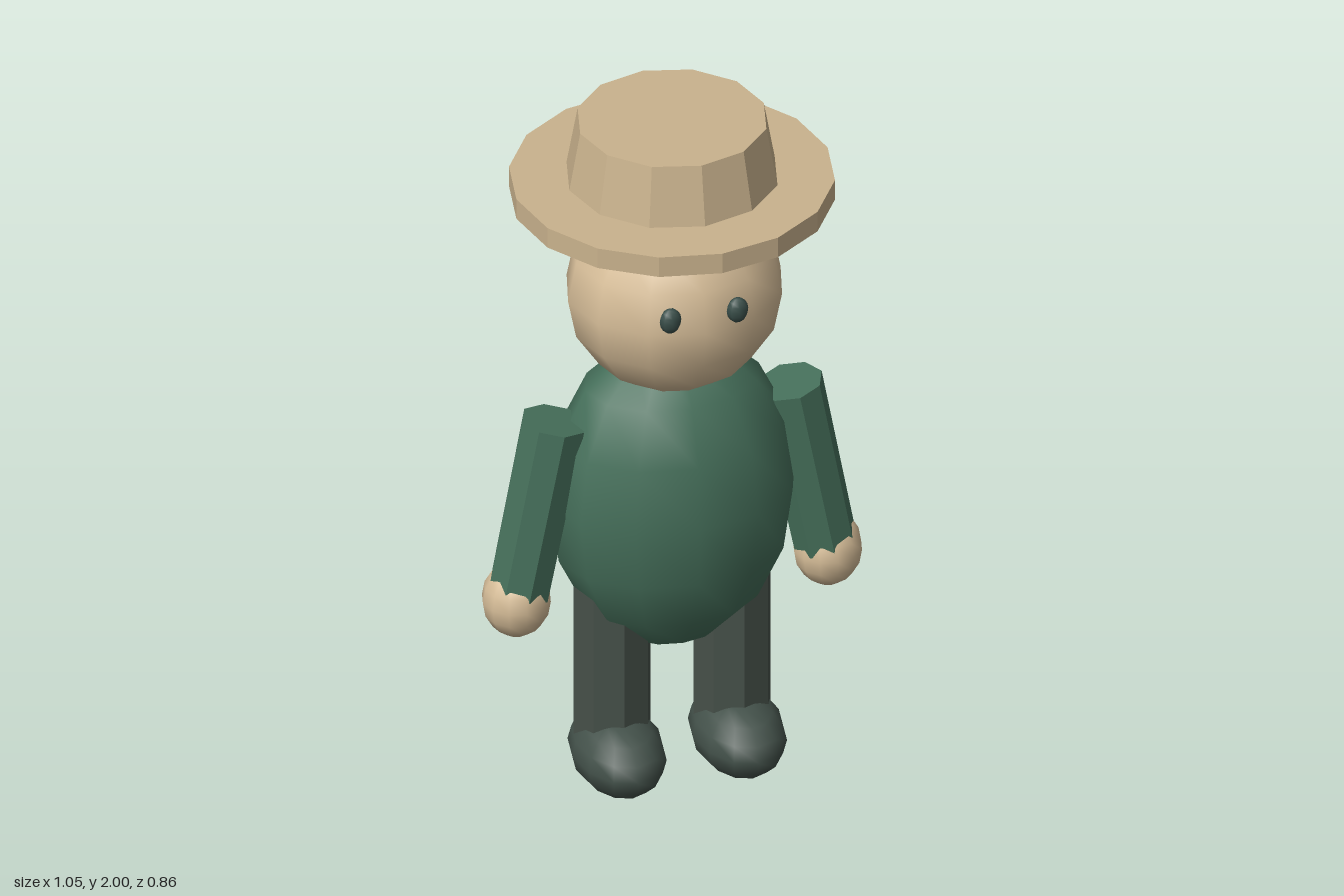
import * as THREE from 'three';

const mat = (name, color) => {
  const m = new THREE.MeshStandardMaterial({ color });
  m.name = name;
  return m;
};

export function createModel() {
  const skin = mat('skin', 0xd6bd98);
  const straw = mat('straw', 0xc9b28d);
  const cloth = mat('green cloth', 0x46705b);
  const trousers = mat('dark trousers', 0x465049);
  const shoe = mat('shoe', 0x43514a);
  const eyeDark = mat('eye', 0x3a4f4a);

  const model = new THREE.Group();
  model.name = 'figure';

  // Smooth ellipsoid from radii and centre
  const ellipsoid = (name, material, radii, centre, w = 12, h = 8) => {
    const g = new THREE.SphereGeometry(1, w, h).scale(...radii);
    const mesh = new THREE.Mesh(g, material);
    mesh.name = name;
    mesh.position.set(...centre);
    model.add(mesh);
  };

  // Faceted cylinder between two centres
  const facets = (name, material, rTop, rBottom, sides, top, bottom) => {
    const a = new THREE.Vector3(...bottom), b = new THREE.Vector3(...top);
    const axis = b.clone().sub(a);
    // toNonIndexed makes each facet flat
    const g = new THREE.CylinderGeometry(rTop, rBottom, axis.length(), sides).toNonIndexed();
    g.computeVertexNormals();
    const mesh = new THREE.Mesh(g, material);
    mesh.name = name;
    mesh.position.copy(a).add(b).multiplyScalar(0.5);
    mesh.quaternion.setFromUnitVectors(new THREE.Vector3(0, 1, 0), axis.normalize());
    model.add(mesh);
  };

  // Body and head
  ellipsoid('torso', cloth, [0.34, 0.47, 0.25], [0, 0.87, 0]);
  ellipsoid('head', skin, [0.295, 0.295, 0.27], [0, 1.5, 0.02]);

  // Hat
  facets('hatBrim', straw, 0.432, 0.432, 16, [0, 1.83, 0], [0, 1.77, 0]);
  facets('hatCrown', straw, 0.255, 0.285, 12, [0, 2, 0], [0, 1.83, 0]);

  // Paired parts
  for (const [side, s] of [['left', 1], ['right', -1]]) {
    ellipsoid(side + 'Eye', eyeDark, [0.03, 0.037, 0.021], [s * 0.093, 1.55, 0.275], 8, 8);
    facets(side + 'Arm', cloth, 0.09, 0.086, 8, [s * 0.327, 1.127, 0], [s * 0.425, 0.62, 0]);
    ellipsoid(side + 'Hand', skin, [0.093, 0.108, 0.093], [s * 0.432, 0.6, 0]);
    facets(side + 'Leg', trousers, 0.107, 0.107, 8, [s * 0.167, 0.62, 0], [s * 0.167, 0.12, 0]);
    ellipsoid(side + 'Foot', shoe, [0.124, 0.108, 0.188], [s * 0.167, 0.11, 0.045]);
  }
  return model;
}
